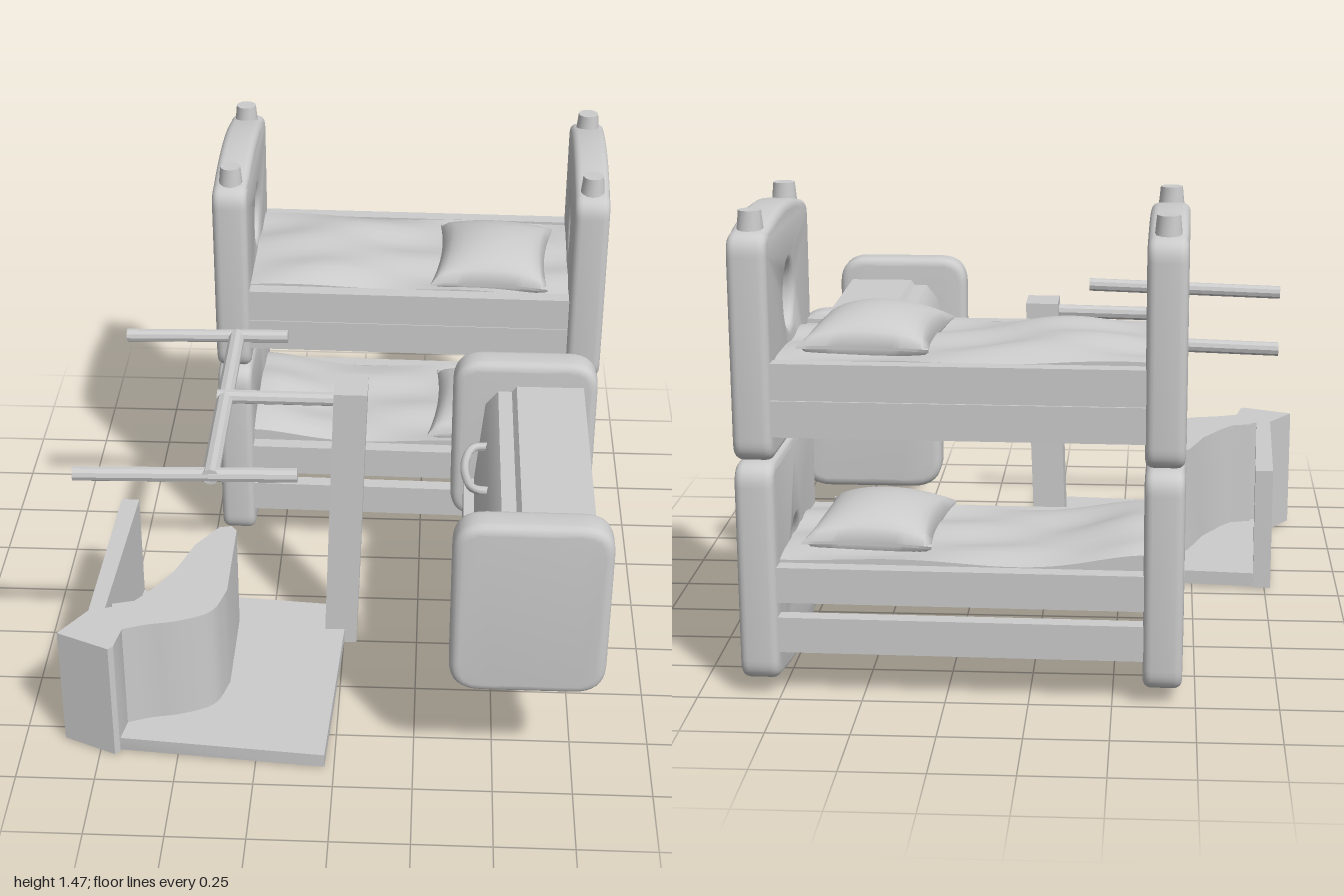
import * as THREE from 'three';
import { toCreasedNormals } from 'three/addons/utils/BufferGeometryUtils.js';

const material = new THREE.MeshStandardMaterial({ color: 0xcccccc });

function add(parent, name, geometry, x = 0, y = 0, z = 0, crease = 0.6) {
  const mesh = new THREE.Mesh(toCreasedNormals(geometry, crease), material);
  mesh.name = name;
  mesh.position.set(x, y, z);
  parent.add(mesh);
  return mesh;
}

const box = (w, h, d) => new THREE.BoxGeometry(w, h, d);

// Prism standing between y0 and y1 on a plan outline of [x, z] points
function prism(points, y0, y1) {
  const shape = new THREE.Shape(points.map(([x, z]) => new THREE.Vector2(x, -z)));
  const geo = new THREE.ExtrudeGeometry(shape, { depth: y1 - y0, bevelEnabled: false });
  return geo.rotateX(-Math.PI / 2).translate(0, y0, 0);
}

// Rounded slab in the xy plane; its top and bottom edges can bow outwards
function slab(w, h, t, r, bevel, { top = 0, bottom = 0, hole = null } = {}) {
  const a = w / 2, b = h / 2, hi = b - top, lo = -b + bottom;
  const s = new THREE.Shape();
  s.moveTo(-a + r, lo);
  s.quadraticCurveTo(0, lo - 2 * bottom, a - r, lo);
  s.quadraticCurveTo(a, lo, a, lo + r);
  s.lineTo(a, hi - r);
  s.quadraticCurveTo(a, hi, a - r, hi);
  s.quadraticCurveTo(0, hi + 2 * top, -a + r, hi);
  s.quadraticCurveTo(-a, hi, -a, hi - r);
  s.lineTo(-a, lo + r);
  s.quadraticCurveTo(-a, lo, -a + r, lo);
  if (hole) {
    const p = new THREE.Path();
    p.absellipse(0, hole.y, hole.rx, hole.ry, 0, Math.PI * 2, true);
    s.holes.push(p);
  }
  return new THREE.ExtrudeGeometry(s, {
    depth: t - 2 * bevel, bevelThickness: bevel, bevelSize: bevel,
    bevelOffset: -bevel, bevelSegments: 4, curveSegments: 8,
  }).translate(0, 0, -t / 2 + bevel);
}

// Pinched cushion, flat at its rim
function pillowGeometry(w, d, half) {
  const geo = new THREE.BoxGeometry(2, 2, 2, 18, 1, 18);
  const p = geo.attributes.position;
  for (let i = 0; i < p.count; i++) {
    const u = p.getX(i), v = p.getZ(i);
    const puff = Math.sqrt(Math.max(0, (1 - u * u) * (1 - v * v)));
    p.setXYZ(i,
      u * w / 2 * (1 - 0.1 * (1 - v * v)),
      Math.sign(p.getY(i)) * (0.004 + half * puff),
      v * d / 2 * (1 - 0.08 * (1 - u * u)));
  }
  return geo;
}

// Rumpled mattress; rise(x) lifts the top along its length
function mattressGeometry(rise) {
  const geo = new THREE.BoxGeometry(1.1, 0.09, 0.55, 44, 1, 14);
  const p = geo.attributes.position;
  for (let i = 0; i < p.count; i++) {
    const x = p.getX(i), z = p.getZ(i);
    const fold = 0.006 * Math.sin(9 * x + 22 * z) + 0.004 * Math.sin(31 * z - 6 * x);
    const edge = 1 - Math.pow(Math.abs(z) / 0.275, 4);
    p.setY(i, p.getY(i) + (p.getY(i) > 0 ? rise(x) * (0.4 + 0.6 * edge) + fold : fold));
  }
  return geo;
}

function buildBunkBed() {
  const bed = new THREE.Group();
  bed.name = 'bunkBed';
  bed.position.set(0.2, 0, -0.655);
  bed.rotation.y = -0.017;
  const levels = [
    { name: 'lower', y: 0.375, h: 0.71, bow: { bottom: 0.03 }, holeY: -0.01, rails: [0.357, 0.2], mattress: 0.375,
      rise: x => 0.005 + 0.07 * Math.exp(-Math.pow((x + 0.56) / 0.2, 2)) },
    { name: 'upper', y: 1.095, h: 0.72, bow: { top: 0.035 }, holeY: 0.08, rails: [0.982, 0.87], mattress: 0.985,
      rise: x => 0.005 + 0.04 * Math.exp(-Math.pow((x + 0.3) / 0.25, 2)) },
  ];
  for (const l of levels) {
    // End boards with an oval hole
    for (const side of [-1, 1]) {
      const hole = { y: l.holeY, rx: 0.082, ry: 0.1 };
      const geo = slab(0.69, l.h, 0.118, 0.07, 0.025, { ...l.bow, hole }).rotateY(Math.PI / 2);
      add(bed, l.name + 'EndBoard', geo, side * 0.605, l.y, 0);
    }
    // Side rails
    for (const y of l.rails) for (const z of [-0.305, 0.3])
      add(bed, l.name + 'Rail', box(1.15, 0.11, 0.05), 0, y, z);
    add(bed, l.name + 'Mattress', mattressGeometry(l.rise), 0, l.mattress, 0, 1);
    const pillow = add(bed, l.name + 'Pillow', pillowGeometry(0.4, 0.47, 0.09), 0.285, l.mattress + 0.067, 0.04, 1.2);
    pillow.rotation.y = -0.05;
  }
  // Corner pegs
  for (const x of [-0.605, 0.605]) for (const z of [-0.255, 0.265])
    add(bed, 'peg', new THREE.CylinderGeometry(0.034, 0.041, 0.07, 12), x, 1.442, z);
  return bed;
}

function buildChest() {
  const chest = new THREE.Group();
  chest.name = 'chest';
  for (const z of [-0.01, 0.935])
    add(chest, 'chestEnd', slab(0.475, 0.605, 0.108, 0.1, 0.028), 0.59, 0.688, z);
  // Body with a recessed steep front above a projecting base
  const section = [[0.78, 0.54], [0.78, 0.91], [0.56, 0.91], [0.545, 0.89], [0.5, 0.89], [0.46, 0.84], [0.43, 0.54]];
  const shape = new THREE.Shape(section.map(([x, y]) => new THREE.Vector2(x, y)));
  add(chest, 'chestBody', new THREE.ExtrudeGeometry(shape, { depth: 0.94, bevelEnabled: false }), 0, 0, 0);
  add(chest, 'chestBase', box(0.4, 0.125, 0.94), 0.595, 0.483, 0.465);
  // Bowed pull handle
  const path = new THREE.CatmullRomCurve3([
    [0.47, 0.29], [0.42, 0.3], [0.395, 0.37], [0.395, 0.47], [0.42, 0.54], [0.47, 0.55],
  ].map(([x, z]) => new THREE.Vector3(x, 0.83, z)));
  add(chest, 'handle', new THREE.TubeGeometry(path, 24, 0.014, 8), 0, 0, 0, 1);
  return chest;
}

function buildFrame() {
  const frame = new THREE.Group();
  frame.name = 'rodFrame';
  const rod = (name, a, b, r) => {
    const from = new THREE.Vector3(...a), to = new THREE.Vector3(...b);
    const mesh = add(frame, name, new THREE.CylinderGeometry(r, r, from.distanceTo(to), 10));
    mesh.position.copy(from).add(to).multiplyScalar(0.5);
    mesh.quaternion.setFromUnitVectors(new THREE.Vector3(0, 1, 0), to.sub(from).normalize());
  };
  rod('mainRod', [-0.385, 0.94, 0.68], [-0.385, 0.93, -0.22], 0.027);
  rod('rearCrossRod', [-0.76, 0.922, -0.222], [-0.21, 0.937, -0.212], 0.022);
  rod('frontCrossRod', [-0.81, 0.925, 0.655], [-0.12, 0.945, 0.665], 0.023);
  rod('postRod', [-0.41, 0.94, 0.2], [0.0, 0.945, 0.21], 0.023);
  // Slightly leaning square post
  const post = box(0.108, 0.985, 0.138);
  const p = post.attributes.position;
  for (let i = 0; i < p.count; i++) p.setX(i, p.getX(i) + p.getY(i) * 0.034);
  add(frame, 'post', post, 0.006, 0.496, 0.188);
  return frame;
}

function buildCornerSeat() {
  const seat = new THREE.Group();
  seat.name = 'cornerSeat';
  add(seat, 'basePlate', prism([[-0.75, 0.06], [0.01, 0.12], [-0.03, 0.915], [-0.69, 0.86], [-0.79, 0.8]], 0.01, 0.057));
  add(seat, 'sideWall', prism([[-0.77, 0.05], [-0.71, 0.05], [-0.74, 0.72], [-0.79, 0.72]], 0.01, 0.43));
  add(seat, 'cornerBlock', prism([[-0.87, 0.81], [-0.79, 0.69], [-0.7, 0.66], [-0.67, 0.78], [-0.685, 0.87], [-0.7, 0.885]], 0.01, 0.43));
  // Curved wedge running from the corner block to a narrow tip
  const curve = new THREE.CatmullRomCurve3(
    [[-0.69, 0.79], [-0.6, 0.755], [-0.5, 0.73], [-0.4, 0.675], [-0.36, 0.56]].map(([x, z]) => new THREE.Vector3(x, 0, z)));
  const outer = curve.getPoints(16).map(v => [v.x, v.z]);
  const inner = [[-0.36, 0.22], [-0.38, 0.195], [-0.42, 0.205], [-0.49, 0.31], [-0.54, 0.46], [-0.61, 0.58], [-0.65, 0.63], [-0.72, 0.65]];
  add(seat, 'curvedWedge', prism([...outer, ...inner], 0.05, 0.43));
  return seat;
}

export function createModel() {
  const model = new THREE.Group();
  model.name = 'bedroomSet';
  model.add(buildBunkBed(), buildChest(), buildFrame(), buildCornerSeat());
  return model;
}
